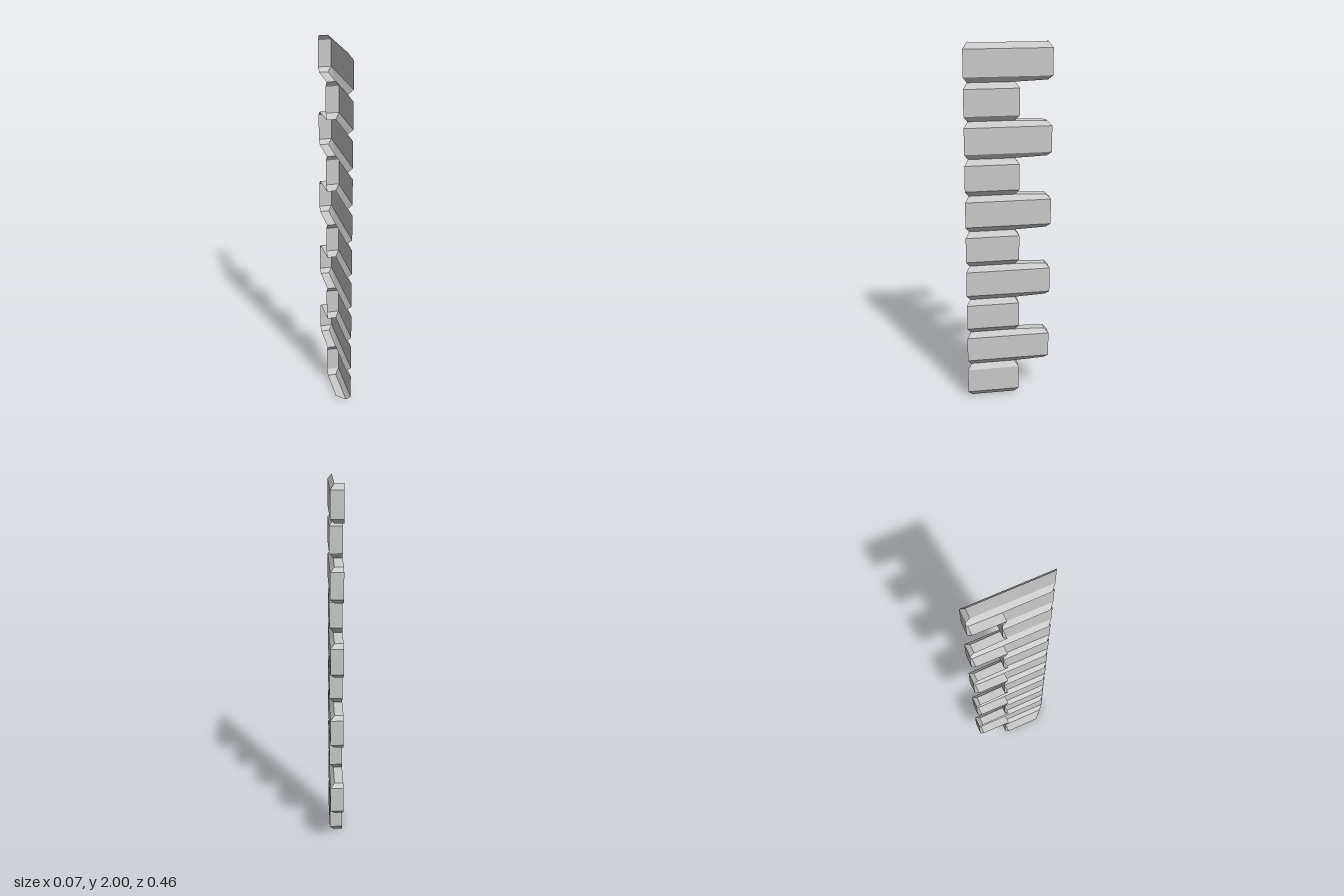
import * as THREE from 'three';

const COUNT = 10, H = 0.2;          // stacked blocks and their height
const BACK = -0.035, FACE = 0.035;  // inner edge and outer face in x
const BEVEL_Y = 0.03, INSET = 0.022;
const SHORT = -0.06, LONG = -0.232; // rear end of each block type in z
const STEP = SHORT + INSET;         // where the overhang starts
const TAPER = 0.007;

const material = new THREE.MeshStandardMaterial({
  color: 0xcccccc, flatShading: true, side: THREE.DoubleSide,
});

function meshFromQuads(quads, name) {
  const pos = [];
  for (const [a, b, c, d] of quads) pos.push(...a, ...b, ...c, ...a, ...c, ...d);
  const g = new THREE.BufferGeometry();
  g.setAttribute('position', new THREE.Float32BufferAttribute(pos, 3));
  g.computeVertexNormals();
  const mesh = new THREE.Mesh(g, material);
  mesh.name = name;
  return mesh;
}

const mitre = (x) => 0.198 + x; // 45 degree open front end

// One level of a block's wall: front edge, (overhang start), rear corner, inner edge
function ring(y, inset, end, long, taper) {
  const x = FACE - inset, z = end + inset;
  const pts = [[x, y, mitre(x)]];
  if (long) pts.push([x, y, STEP]);
  pts.push([x, y + taper, z], [BACK, y + taper, z]);
  return pts;
}

function block(i) {
  const long = i % 2 === 1, first = i === 0, last = i === COUNT - 1;
  const end = long ? LONG : SHORT, y0 = i * H, y1 = y0 + H;
  const rings = [
    ring(y0, INSET, end, long, long ? TAPER : 0),
    ring(y0 + BEVEL_Y, 0, end, long, 0),
    ring(y1 - BEVEL_Y, 0, end, long, 0),
    ring(y1, INSET, end, long, long && !last ? -TAPER : 0),
  ];
  const quads = [];
  for (let r = 0; r < 3; r++) {
    for (let k = 0; k < rings[r].length - 1; k++) {
      quads.push([rings[r][k], rings[r][k + 1], rings[r + 1][k + 1], rings[r + 1][k]]);
    }
  }
  // Closing faces of the overhang; the top of the stack stays open
  if (long) {
    const flat = (p, y) => [p[1], p[2], p[3], [BACK, y, STEP]];
    quads.push(flat(rings[0], y0).reverse());
    if (!last) quads.push(flat(rings[3], y1));
  }
  // Underside of the lowest block
  if (first) quads.push([...rings[0], [BACK, y0, mitre(BACK)]].reverse());
  return meshFromQuads(quads, long ? 'longCornerBlock' : 'shortCornerBlock');
}

export function createModel() {
  const group = new THREE.Group();
  group.name = 'cornerStones';
  for (let i = 0; i < COUNT; i++) group.add(block(i));
  return group;
}
